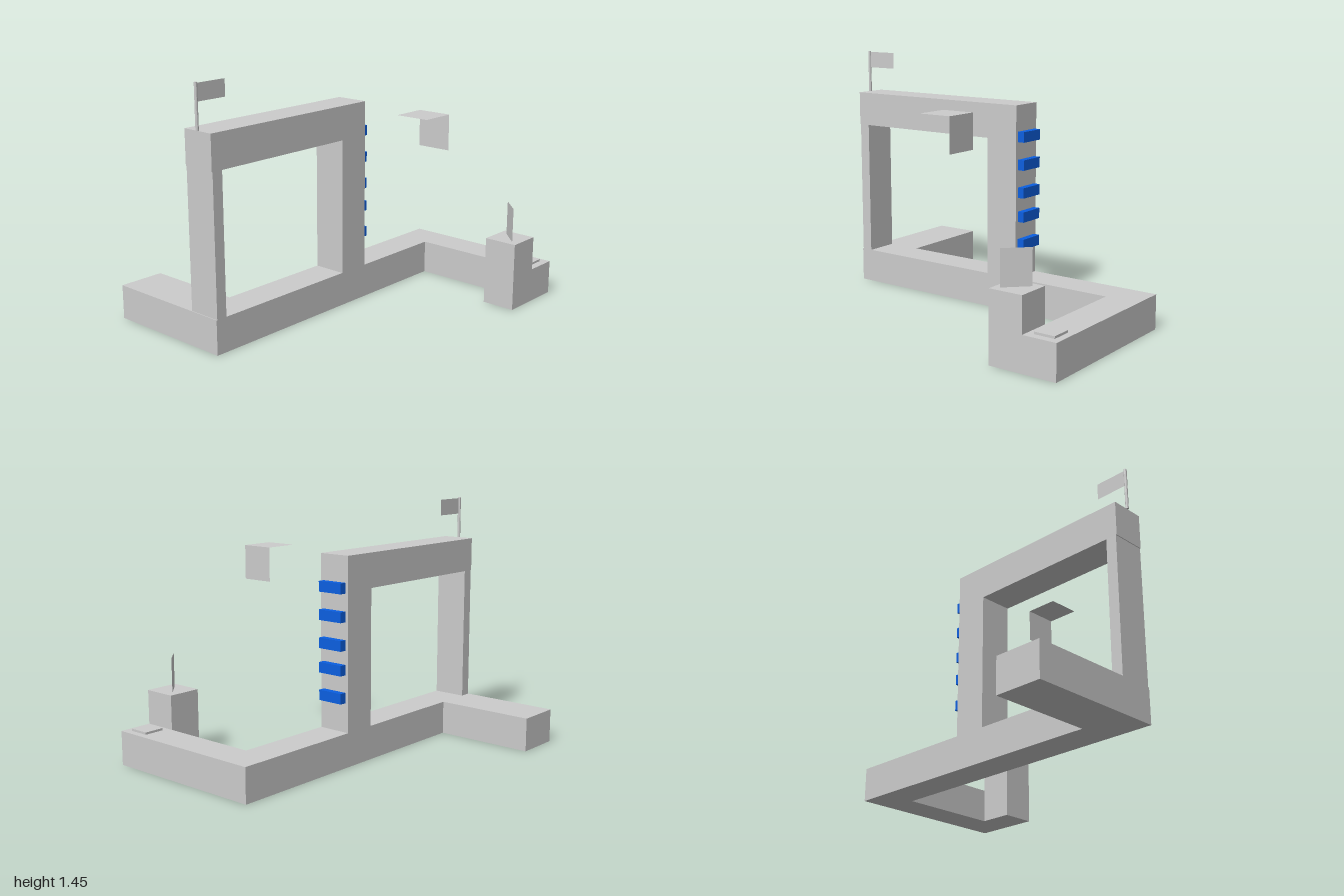
import * as THREE from 'three';

export function createModel() {
  const model = new THREE.Group();
  const grey = new THREE.MeshStandardMaterial({ color: 0xcccccc, flatShading: true });
  const thin = new THREE.MeshStandardMaterial({ color: 0xcccccc, flatShading: true, side: THREE.DoubleSide });
  const blue = new THREE.MeshStandardMaterial({ color: 0x0b5fe0, flatShading: true });

  function add(name, geometry, material = grey) {
    const mesh = new THREE.Mesh(geometry, material);
    mesh.name = name;
    model.add(mesh);
    return mesh;
  }
  // Box given by its lower and upper limits on each axis
  function box(name, [x0, x1], [y0, y1], [z0, z1], material) {
    add(name, new THREE.BoxGeometry(x1 - x0, y1 - y0, z1 - z0), material)
      .position.set((x0 + x1) / 2, (y0 + y1) / 2, (z0 + z1) / 2);
  }
  function extrude(points, depth) {
    const shape = new THREE.Shape(points.map(([x, y]) => new THREE.Vector2(x, y)));
    return new THREE.ExtrudeGeometry(shape, { depth, bevelEnabled: false });
  }

  // Zigzag walkway on the ground, outlined as x and -z
  add('walkway', extrude([
    [-0.99, 0], [0.8, 0], [0.8, -0.8], [1, -0.8], [1, 0.2],
    [-0.715, 0.2], [-0.715, 0.8], [-0.99, 0.8],
  ], 0.2).rotateX(-Math.PI / 2));

  // Column and top beam in one piece, with a narrow post at the far end
  add('columnAndBeam', extrude([
    [0, 0.2], [0.2, 0.2], [0.2, 1.2], [-0.99, 1.2], [-0.99, 1], [0, 1],
  ], 0.2).translate(0, 0, -0.2));
  box('post', [-0.985, -0.92], [0.2, 1], [-0.2, 0]);

  // Ladder rungs on the column
  for (const y of [0.4, 0.56, 0.7, 0.86, 1.02]) {
    box('rung', [0.2, 0.24], [y - 0.03, y + 0.03], [-0.18, -0.02], blue);
  }

  // Corner block with an upright diagonal card, and a floor button beside it
  box('cornerBlock', [0.6, 0.8], [0, 0.4], [0.6, 0.8]);
  const card = add('card', new THREE.PlaneGeometry(0.163, 0.2), thin);
  card.position.set(0.695, 0.5, 0.7);
  card.rotation.y = Math.PI / 4;
  box('button', [0.84, 0.96], [0.2, 0.213], [0.635, 0.755]);

  // Floating corner made of two open faces
  const top = add('floatingTop', new THREE.PlaneGeometry(0.2, 0.2), thin);
  top.rotation.x = -Math.PI / 2;
  top.position.set(0.1, 1.2, 0.5);
  const side = add('floatingSide', new THREE.PlaneGeometry(0.2, 0.2), thin);
  side.rotation.y = Math.PI / 2;
  side.position.set(0.2, 1.1, 0.5);

  // Flag on its pole
  add('flagPole', new THREE.CylinderGeometry(0.009, 0.009, 0.25, 12)).position.set(-0.991, 1.325, -0.1);
  add('flag', new THREE.PlaneGeometry(0.19, 0.096), thin).position.set(-0.89, 1.397, -0.1);

  return model;
}
